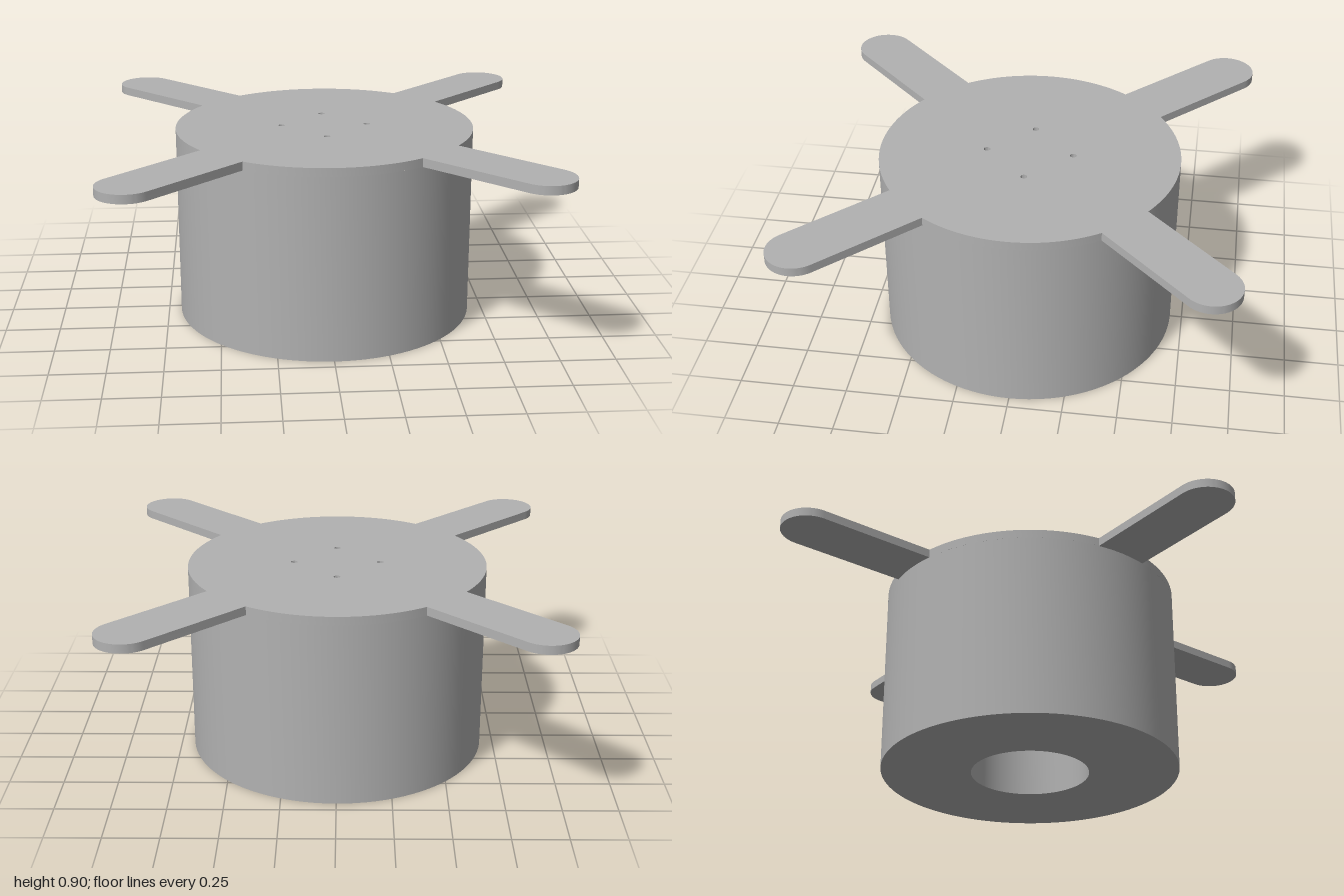
import * as THREE from 'three';
import { toCreasedNormals } from 'three/addons/utils/BufferGeometryUtils.js';

const RADIUS = 0.693, HEIGHT = 0.896, PLATE = 0.04;
const ARM_HALF = 0.13, ARM_REACH = 0.87 * Math.SQRT2;

export function createModel() {
  const group = new THREE.Group();
  const grey = new THREE.MeshStandardMaterial({ color: 0xb2b2b2 });
  grey.name = 'grey';

  const add = (name, geometry) => {
    const mesh = new THREE.Mesh(toCreasedNormals(geometry, 0.5), grey);
    mesh.name = name;
    group.add(mesh);
  };

  // Drum with a stepped bore, wide at the bottom and narrower above
  const under = HEIGHT - PLATE;
  const profile = [
    [0.205, under], [0.205, 0.45], [0.275, 0.45], [0.275, 0],
    [RADIUS, 0], [RADIUS, under],
  ].map(([r, y]) => new THREE.Vector2(r, y));
  add('drum', new THREE.LatheGeometry(profile, 96));

  // Top plate: a disc with four round-ended diagonal arms
  const outline = new THREE.Shape();
  const joint = Math.asin(ARM_HALF / RADIUS);
  for (let k = 0; k < 4; k++) {
    const a = Math.PI / 4 + k * Math.PI / 2;
    outline.absarc(0, 0, RADIUS, a - Math.PI / 2 + joint, a - joint, false);
    outline.absarc(ARM_REACH * Math.cos(a), ARM_REACH * Math.sin(a), ARM_HALF,
      a - Math.PI / 2, a + Math.PI / 2, false);
  }
  outline.closePath();

  // Four small screw holes around the centre
  for (let k = 0; k < 4; k++) {
    const a = k * Math.PI / 2;
    const hole = new THREE.Path();
    hole.absarc(0.2 * Math.cos(a), 0.2 * Math.sin(a), 0.015, 0, Math.PI * 2, true);
    outline.holes.push(hole);
  }

  const plate = new THREE.ExtrudeGeometry(outline, {
    depth: PLATE, bevelEnabled: false, curveSegments: 20,
  });
  plate.rotateX(-Math.PI / 2).translate(0, under, 0);
  add('topPlateWithArms', plate);

  return group;
}
